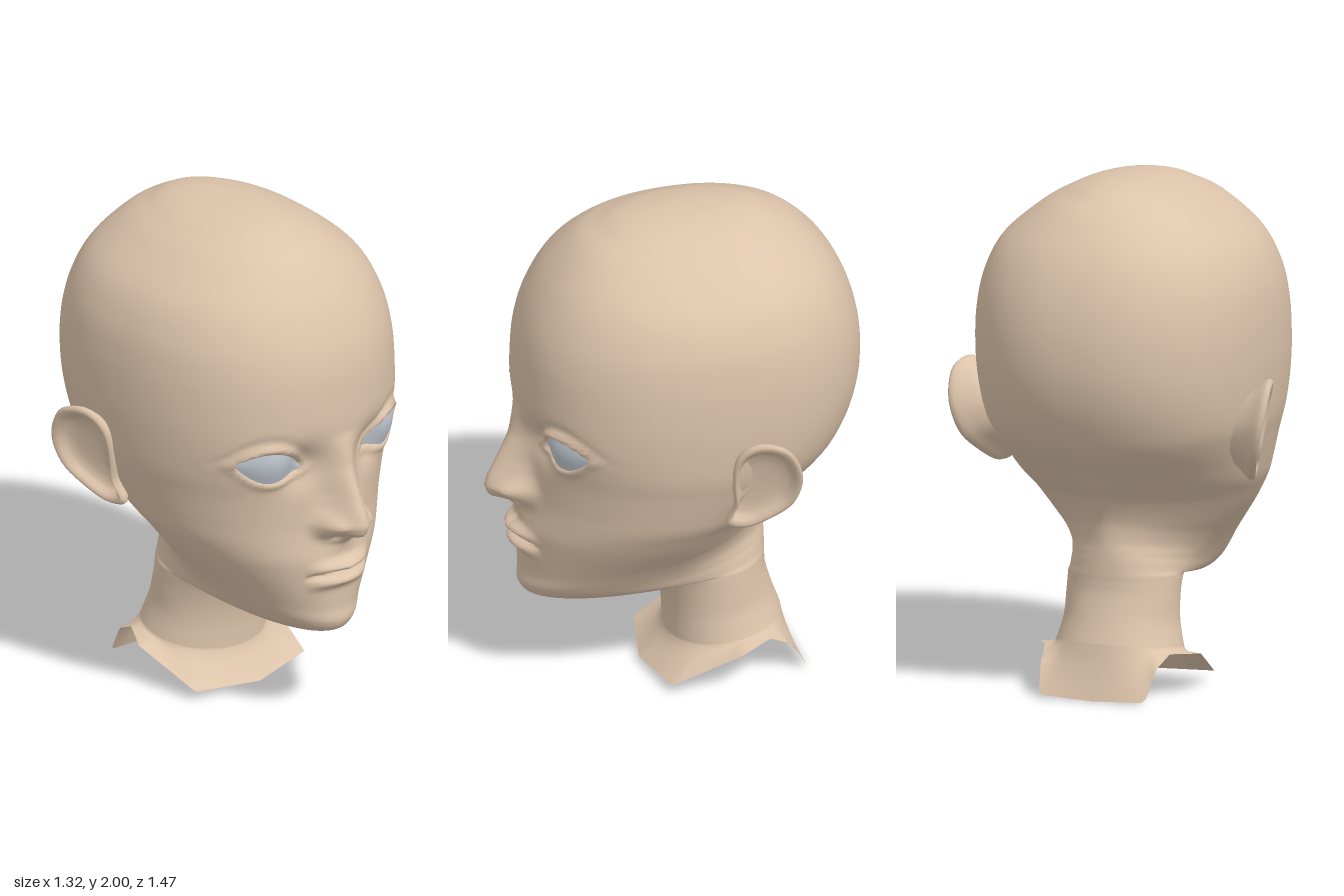
import * as THREE from 'three';

// Centre-line profile of head and neck, top to bottom: front y, front z, back y, back z
const PROFILE = [
  [2, -.09, 2, -.09], [1.995, .06, 1.995, -.25], [1.975, .19, 1.975, -.36], [1.945, .27, 1.945, -.42],
  [1.89, .375, 1.89, -.51], [1.77, .485, 1.77, -.62], [1.635, .56, 1.635, -.69], [1.5, .6, 1.48, -.728],
  [1.34, .612, 1.32, -.732], [1.22, .61, 1.18, -.705], [1.1, .59, 1.06, -.655], [1, .58, .98, -.605],
  [.88, .58, .9, -.53], [.8, .59, .84, -.48], [.72, .605, .79, -.435], [.65, .605, .74, -.405],
  [.57, .603, .69, -.383], [.5, .6, .65, -.374], [.44, .603, .6, -.37], [.395, .565, .56, -.37],
  [.376, .46, .53, -.37], [.385, .33, .5, -.37], [.43, .17, .47, -.37], [.432, .085, .44, -.37],
  [.35, .045, .39, -.375], [.25, .025, .3, -.4], [.14, .02, .21, -.432],
];
// Matching sections: half width, z of the widest point, back roundness
const SECTION = [
  [0, -.09, 2], [.08, -.09, 2], [.17, -.09, 2], [.24, -.09, 2.1],
  [.335, -.08, 2.2], [.475, -.08, 2.25], [.545, -.08, 2.25], [.573, -.08, 2.25],
  [.578, -.07, 2.25], [.57, -.06, 2.25], [.555, -.05, 2.2], [.53, -.03, 2.1],
  [.5, 0, 1.95], [.475, .02, 1.8], [.435, .04, 1.7], [.395, .05, 1.65],
  [.345, .05, 1.65], [.3, .05, 1.7], [.262, .04, 1.8], [.238, 0, 2],
  [.228, -.05, 2.1], [.222, -.1, 2.1], [.22, -.14, 2.1], [.22, -.15, 2.1],
  [.22, -.17, 2.1], [.225, -.18, 2.1], [.25, -.2, 2.1],
];
// Cut edge of the neck: share of the half turn, x, y, z
const RIM = [
  [0, 0, .02, .12], [.3, .28, .04, .065], [.52, .335, .16, -.2], [.64, .26, .175, -.33],
  [.74, .24, .13, -.42], [.82, .22, .01, -.49], [1, 0, 0, -.49],
];
const NOSE = [[.72, 0], [.78, .022], [.81, .06], [.84, .14], [.88, .158], [.92, .148], [1, .108], [1.1, .053], [1.24, 0]];
const NOSE_WIDTH = [[.78, .06], [.88, .082], [1, .06], [1.2, .055]];

const lerp = THREE.MathUtils.lerp;
const bell = (t, s) => Math.exp(-((t / s) ** 2));
const smooth = THREE.MathUtils.smoothstep;

// Linear lookup: first column is the key, returns the other columns
function lookup(table, k) {
  let i = 0;
  while (i < table.length - 2 && table[i + 1][0] < k) i++;
  const a = table[i], b = table[i + 1];
  const t = THREE.MathUtils.clamp((k - a[0]) / (b[0] - a[0]), 0, 1);
  return a.slice(1).map((n, c) => lerp(n, b[c + 1], t));
}

// Smooth interpolation between table rows
function spline(table, v) {
  const last = table.length - 1, i = Math.min(Math.floor(v), last - 1), t = v - i;
  const [p, a, b, q] = [i - 1, i, i + 1, i + 2].map(n => table[Math.max(0, Math.min(last, n))]);
  return a.map((n, c) => n + .5 * t * (b[c] - p[c]
    + t * (2 * p[c] - 5 * n + 4 * b[c] - q[c] + t * (3 * (n - b[c]) + q[c] - p[c]))));
}

// Point of the plain head at row v and angle th (0 is the front)
function headPoint(v, th) {
  const [fy, fz, by, bz] = spline(PROFILE, v), [w, zc, nBack] = spline(SECTION, v);
  const c = Math.cos(th), s = Math.sin(th), nFront = lerp(2.2, 2, smooth(v, 9, 13));
  const n = lerp(nBack, nFront, smooth(c, -.3, .3));
  const z = zc + (c > 0 ? fz - zc : zc - bz) * Math.sign(c) * Math.abs(c) ** (2 / n);
  const k = fz - bz > 1e-6 ? (fz - z) / (fz - bz) : 0;
  return [w * Math.sign(s) * Math.abs(s) ** (2 / n), lerp(fy, by, k), z];
}

// Eye opening: lower and upper lid height at |x|
const EYE_IN = .15, EYE_OUT = .41;
function lids(x) {
  const t = THREE.MathUtils.clamp((x - EYE_IN) / (EYE_OUT - EYE_IN), 0, 1);
  const corner = lerp(1.11, 1.16, t);
  return [corner - .06 * Math.sin(Math.PI * t ** 1.4), corner + .075 * Math.max(0, Math.sin(Math.PI * t)) ** .75];
}
const socket = (x, y) => -.055 * bell(x - .17, .08) * bell(y - 1.13, .085);

// Forward relief of the face: sockets, lids, nose and lips
function relief(px, y) {
  const x = Math.abs(px);
  let d = socket(x, y);
  const [lo, up] = lids(x);
  const inside = Math.min(up - y, y - lo) - Math.max(0, x - EYE_OUT, EYE_IN - x);
  d -= .03 * smooth(inside, 0, .015);
  d += (y > 1.13 ? .02 : .014) * bell(inside + .015, .015);
  d -= .008 * bell(inside + .05, .018) * smooth(y, 1.13, 1.2);
  if (y > .72 && y < 1.24) {
    d += lookup(NOSE, y)[0] * Math.exp(-((x / lookup(NOSE_WIDTH, y)[0]) ** 2.2));
  }
  d += .055 * bell(x - .088, .034) * bell(y - .875, .042);
  d -= .03 * bell(x - .045, .02) * bell(y - .825, .014);
  d -= .008 * bell(x, .02) * bell(y - .75, .03);
  const lip = Math.max(0, 1 - (x / .155) ** 2);
  const line = .662 - .5 * x * x;
  d += .046 * lip * bell(y - line - .03 + .006 * bell(x, .02), .022);
  d += .04 * lip * bell(y - line + .033, .024);
  d -= .03 * Math.sqrt(lip) * bell(y - line, .009);
  return d;
}

// Front surface depth of the plain head at x, y
function faceDepth(x, y) {
  let top = 7, bottom = 14, z = 0;
  for (let i = 0; i < 24; i++) {
    const v = (top + bottom) / 2;
    let a = 0, b = Math.PI / 2;
    for (let k = 0; k < 24; k++) {
      const m = (a + b) / 2;
      if (headPoint(v, m)[0] < x) a = m; else b = m;
    }
    const p = headPoint(v, a);
    z = p[2];
    if (p[1] > y) top = v; else bottom = v;
  }
  return z;
}

// Mesh over rows of points, optionally closed around
function skinRows(rows, closed, material, name) {
  const n = rows[0].length, index = [];
  for (let i = 0; i < rows.length - 1; i++) {
    for (let j = 0; j < (closed ? n : n - 1); j++) {
      const k = (j + 1) % n, a = i * n + j, b = i * n + k;
      index.push(a, a + n, b, b, a + n, b + n);
    }
  }
  const geo = new THREE.BufferGeometry();
  geo.setAttribute('position', new THREE.Float32BufferAttribute(rows.flat(2), 3));
  geo.setIndex(index);
  geo.computeVertexNormals();
  const mesh = new THREE.Mesh(geo, material);
  mesh.name = name;
  return mesh;
}

function makeHead(material) {
  const half = 72, steps = 8, rows = [], last = PROFILE.length - 1;
  // Columns lie closer together on the face
  const angles = Array.from({ length: half * 2 }, (_, j) => {
    const s = j / half - 1;
    return Math.PI * s * (.42 + .58 * Math.abs(s));
  });
  for (let i = 0; i <= last * steps; i++) {
    rows.push(angles.map(th => {
      const [x, y, z] = headPoint(i / steps, th);
      const onFace = Math.cos(th) > 0 && y > .5 && y < 1.5;
      return [x, y, z + (onFace ? relief(x, y) : 0)];
    }));
  }
  // Flare down to the cut edge of the neck
  const neck = rows[rows.length - 1];
  for (let k = 1; k <= 5; k++) {
    const t = k / 5;
    rows.push(angles.map((th, j) => {
      const [x, y, z] = lookup(RIM, Math.abs(th) / Math.PI), p = neck[j];
      const out = t ** 1.3;
      return [lerp(p[0], x * Math.sign(th), out), lerp(p[1], y, t), lerp(p[2], z, out)];
    }));
  }
  return skinRows(rows, true, material, 'headAndNeck');
}

function makeEye(side, material, name) {
  const rows = [], nx = 24, ny = 8;
  for (let i = 0; i <= ny; i++) {
    const row = [];
    for (let j = 0; j <= nx; j++) {
      const t = j / nx, x = lerp(EYE_IN, EYE_OUT, t), [lo, up] = lids(x);
      const y = lerp(up, lo, i / ny);
      const bulge = .014 * Math.sin(Math.PI * t) * Math.sin(Math.PI * i / ny);
      row.push([side * x, y, faceDepth(x, y) + socket(x, y) + .005 + bulge]);
    }
    rows.push(row);
  }
  return skinRows(rows, false, material, name);
}

// Ear outline as z, y and its rings from back to hollow as scale, offset
const EAR = [[-.21, 1.26], [-.3, 1.23], [-.355, 1.11], [-.33, .98], [-.25, .9], [-.15, .845],
  [-.085, .86], [-.11, .95], [-.1, 1.05], [-.105, 1.17], [-.145, 1.235]];
const EAR_RINGS = [[.6, -.13], [.75, -.07], [.9, -.035], [.98, -.018], [1, -.002], [.96, .01],
  [.89, .011], [.82, .002], [.75, -.016], [.66, -.03], [.45, -.036], [.2, -.038], [0, -.038]];

function makeEar(side, material, name) {
  const outline = new THREE.CatmullRomCurve3(EAR.map(([z, y]) => new THREE.Vector3(0, y, z)), true);
  const points = outline.getPoints(48).slice(0, 48);
  const rows = EAR_RINGS.map(([scale, offset]) => points.map(p => {
    const z = lerp(-.21, p.z, scale), y = lerp(1.05, p.y, scale);
    return [side * (.592 + .2 * (y - 1.05) + .32 * (-.22 - z) + offset), y, z];
  }));
  return skinRows(rows, true, material, name);
}

export function createModel() {
  const skin = new THREE.MeshStandardMaterial({ color: 0xdcc3aa, side: THREE.DoubleSide });
  skin.name = 'skin';
  const eyeGrey = new THREE.MeshStandardMaterial({ color: 0xc3cbd3, side: THREE.DoubleSide });
  eyeGrey.name = 'eyeGrey';
  const model = new THREE.Group();
  model.name = 'head';
  model.add(makeHead(skin));
  for (const [side, label] of [[1, 'left'], [-1, 'right']]) {
    model.add(makeEye(side, eyeGrey, label + 'Eye'), makeEar(side, skin, label + 'Ear'));
  }
  return model;
}
